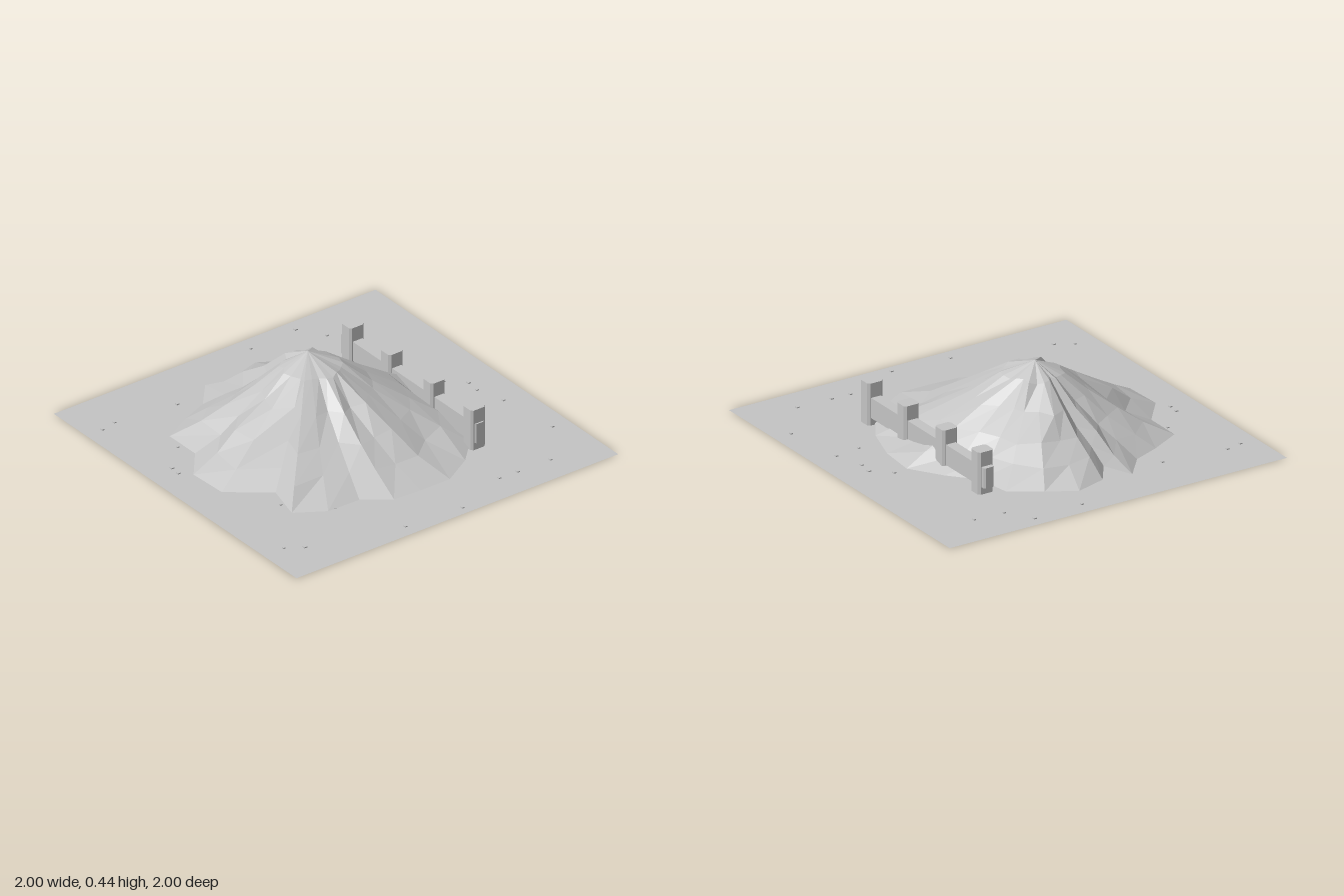
import * as THREE from 'three';

const grey = new THREE.MeshStandardMaterial({ color: 0xc4c4c4, flatShading: true, side: THREE.DoubleSide });
grey.name = 'stone grey';

function seeded(seed) {
  return () => {
    seed = (seed * 16807) % 2147483647;
    return (seed / 2147483647) * 2 - 1;
  };
}

function add(parent, name, geometry, x = 0, y = 0, z = 0) {
  const mesh = new THREE.Mesh(geometry, grey);
  mesh.name = name;
  mesh.position.set(x, y, z);
  parent.add(mesh);
  return mesh;
}

// Foot of the heap as x, z pairs, clockwise from the back
const FOOT = [
  [-0.09, -0.66], [0.12, -0.64], [0.33, -0.57], [0.47, -0.48], [0.6, -0.35], [0.7, -0.18],
  [0.7, 0], [0.69, 0.16], [0.59, 0.3], [0.585, 0.49], [0.49, 0.645], [0.285, 0.59],
  [0.12, 0.8], [-0.1, 0.81], [-0.26, 0.68], [-0.47, 0.68], [-0.56, 0.51], [-0.62, 0.36],
  [-0.76, 0.24], [-0.6, 0.175], [-0.735, 0.08], [-0.785, -0.09], [-0.7, -0.24],
  [-0.59, -0.4], [-0.4, -0.43], [-0.26, -0.55],
];
// Slope from the peak to the foot: share of the radius, height
const SLOPE = [[0.21, 0.37], [0.4, 0.262], [0.6, 0.165], [0.8, 0.082], [1, 0.008]];
const PEAK = [-0.14, 0.438, 0.07];

function heapGeometry() {
  const rand = seeded(71);
  const positions = [...PEAK];
  const index = [];
  const n = FOOT.length;
  SLOPE.forEach(([t, y], r) => {
    const loose = r < SLOPE.length - 1 ? 1 : 0;
    FOOT.forEach(([x, z]) => {
      const s = t * (1 + 0.07 * loose * rand());
      positions.push(
        PEAK[0] + (x - PEAK[0]) * s,
        y + 0.01 * loose * rand(),
        PEAK[2] + (z - PEAK[2]) * s,
      );
    });
    for (let i = 0; i < n; i++) {
      const j = (i + 1) % n;
      const b = 1 + r * n;
      if (r === 0) index.push(0, b + j, b + i);
      else {
        const a = b - n;
        index.push(a + i, a + j, b + j, a + i, b + j, b + i);
      }
    }
  });
  const geometry = new THREE.BufferGeometry();
  geometry.setAttribute('position', new THREE.Float32BufferAttribute(positions, 3));
  geometry.setIndex(index);
  geometry.computeVertexNormals();
  return geometry;
}

// Upright prism with chamfered corners, standing on y = 0
function chamferedPrism(width, depth, height, c) {
  const w = width / 2;
  const d = depth / 2;
  const shape = new THREE.Shape([
    [-w + c, -d], [w - c, -d], [w, -d + c], [w, d - c],
    [w - c, d], [-w + c, d], [-w, d - c], [-w, -d + c],
  ].map(([x, y]) => new THREE.Vector2(x, y)));
  return new THREE.ExtrudeGeometry(shape, { depth: height, bevelEnabled: false }).rotateX(-Math.PI / 2);
}

// Pebble positions as x, z pairs
const PEBBLES = [
  [-0.78, -0.71], [-0.79, -0.54], [-0.93, -0.45], [-0.915, -0.16], [-0.085, -0.73],
  [0, -0.825], [0.08, -0.815], [0.24, -0.86], [0.26, -0.715], [0.59, -0.9], [0.84, -0.7],
  [0.835, -0.5], [0.83, -0.39], [0.95, -0.07], [0.925, 0.265], [0.785, 0.785], [0.73, 0.875],
  [0.385, 0.635], [0.57, 0.44], [-0.165, 0.855], [-0.225, 0.85], [-0.37, 0.705],
  [-0.75, 0.81], [-0.73, 0.9], [-0.705, 0.455],
];

export function createModel() {
  const model = new THREE.Group();
  model.name = 'heapWithBarrier';

  add(model, 'ground', new THREE.PlaneGeometry(2, 2).rotateX(-Math.PI / 2));
  add(model, 'heap', heapGeometry());

  // Barrier behind the heap
  const barrier = new THREE.Group();
  barrier.name = 'barrier';
  barrier.position.z = -0.483;
  model.add(barrier);
  const post = chamferedPrism(0.08, 0.09, 0.228, 0.012);
  for (const x of [-0.503, -0.18, 0.168, 0.498]) add(barrier, 'post', post, x);
  add(barrier, 'rail', chamferedPrism(1.116, 0.058, 0.11, 0.008), -0.012, 0.04, 0);

  // Pebbles scattered over the ground
  const pebbles = new THREE.Group();
  pebbles.name = 'pebbles';
  model.add(pebbles);
  const rand = seeded(9);
  for (const [x, z] of PEBBLES) {
    const size = 0.015 + 0.003 * rand();
    add(pebbles, 'pebble', new THREE.BoxGeometry(size, 0.006, size), x, 0.003, z);
  }
  return model;
}
